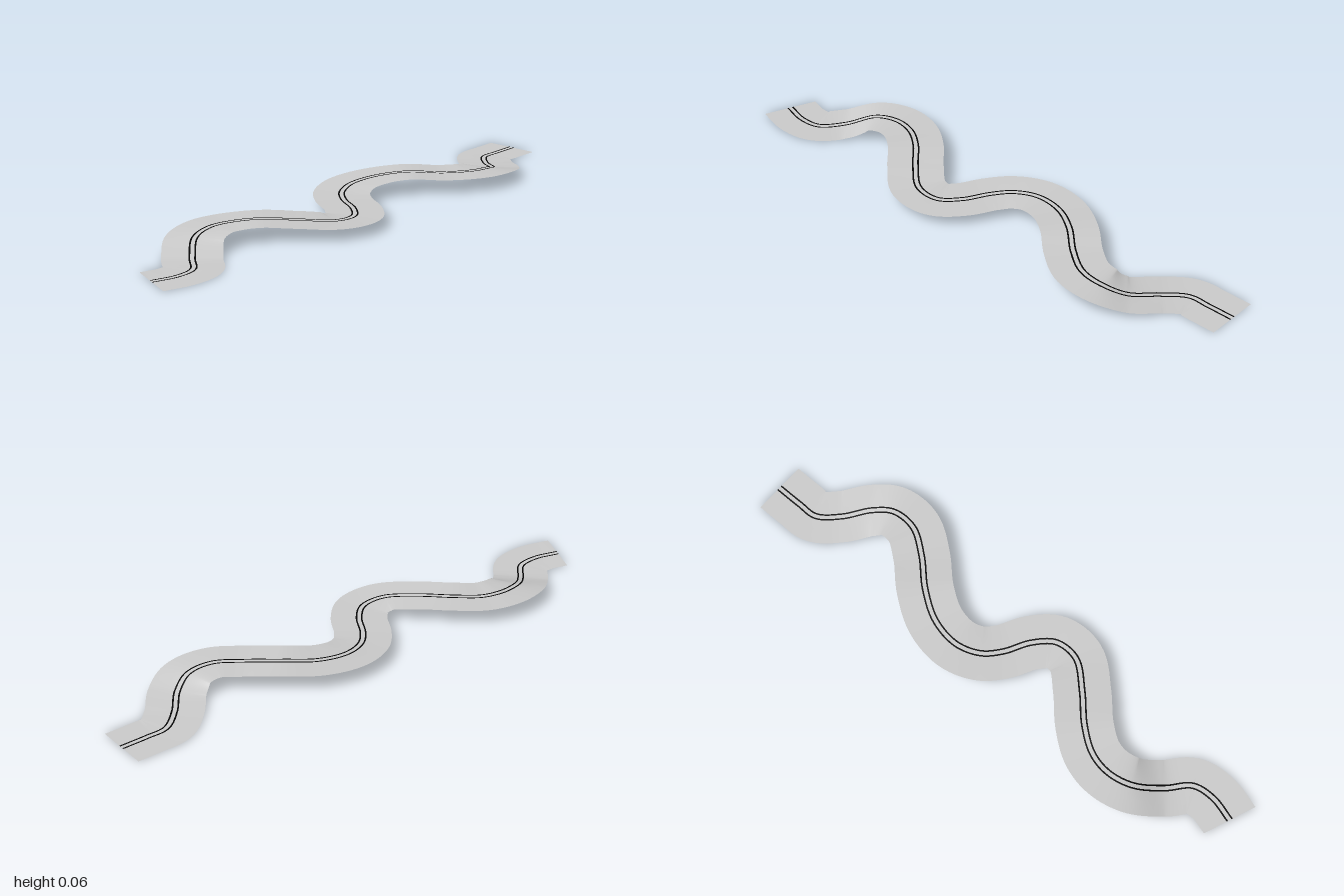
import * as THREE from 'three';

// Centre line of the road: x, height, z
const PATH = [
  [-1, 0.01, 0.44], [-0.9, 0.009, 0.427], [-0.825, 0.009, 0.385], [-0.785, 0.014, 0.285],
  [-0.73, 0.05, 0.18], [-0.65, 0.061, 0.122], [-0.56, 0.063, 0.105], [-0.45, 0.066, 0.13],
  [-0.33, 0.06, 0.185], [-0.2, 0.05, 0.228], [-0.11, 0.045, 0.195], [-0.067, 0.045, 0.11],
  [-0.05, 0.046, 0], [-0.018, 0.05, -0.08], [0.055, 0.057, -0.145], [0.17, 0.064, -0.172],
  [0.3, 0.07, -0.15], [0.43, 0.062, -0.1], [0.55, 0.06, -0.076], [0.645, 0.052, -0.11],
  [0.7, 0.028, -0.18], [0.735, 0.014, -0.29], [0.785, 0.01, -0.38], [0.86, 0.009, -0.414],
  [0.957, 0.009, -0.453],
];
const STEPS = 240;
const HALF_WIDTH = 0.108;

// Flat ribbon swept along the curve, with one column of vertices per sideways offset
function ribbon(curve, offsets, lift, material, name) {
  const positions = [], indices = [], last = [];
  const columns = offsets.length;
  for (let i = 0; i <= STEPS; i++) {
    const centre = curve.getPoint(i / STEPS);
    const tangent = curve.getTangent(i / STEPS).setY(0).normalize();
    if (i === 0) tangent.set(1, 0, 0);
    const side = new THREE.Vector3(-tangent.z, 0, tangent.x);
    offsets.forEach((offset, c) => {
      let p = centre.clone().addScaledVector(side, offset);
      p.y += lift;
      // Hold the inner edge still in bends tighter than the road is wide
      if (last[c] && p.clone().sub(last[c]).dot(tangent) < 0) p = last[c].clone();
      last[c] = p;
      positions.push(p.x, p.y, p.z);
      if (i < STEPS && c < columns - 1) {
        const a = i * columns + c, b = a + columns;
        indices.push(a, a + 1, b, b, a + 1, b + 1);
      }
    });
  }
  const geometry = new THREE.BufferGeometry();
  geometry.setAttribute('position', new THREE.Float32BufferAttribute(positions, 3));
  geometry.setIndex(indices);
  geometry.computeVertexNormals();
  const mesh = new THREE.Mesh(geometry, material);
  mesh.name = name;
  return mesh;
}

export function createModel() {
  const group = new THREE.Group();
  group.name = 'windingRoad';
  const surface = new THREE.MeshStandardMaterial({ color: 0xcccccc, side: THREE.DoubleSide });
  surface.name = 'light grey';
  const paint = new THREE.MeshStandardMaterial({ color: 0x050505, side: THREE.DoubleSide });
  paint.name = 'black';

  const curve = new THREE.CatmullRomCurve3(PATH.map((p) => new THREE.Vector3(...p)), false, 'centripetal');

  // Road surface
  const w = HALF_WIDTH;
  group.add(ribbon(curve, [-w, -w / 2, 0, w / 2, w], 0, surface, 'roadSurface'));

  // Double centre line
  group.add(ribbon(curve, [-0.013, -0.007], 0.001, paint, 'centreLineBack'));
  group.add(ribbon(curve, [0.007, 0.013], 0.001, paint, 'centreLineFront'));
  return group;
}
